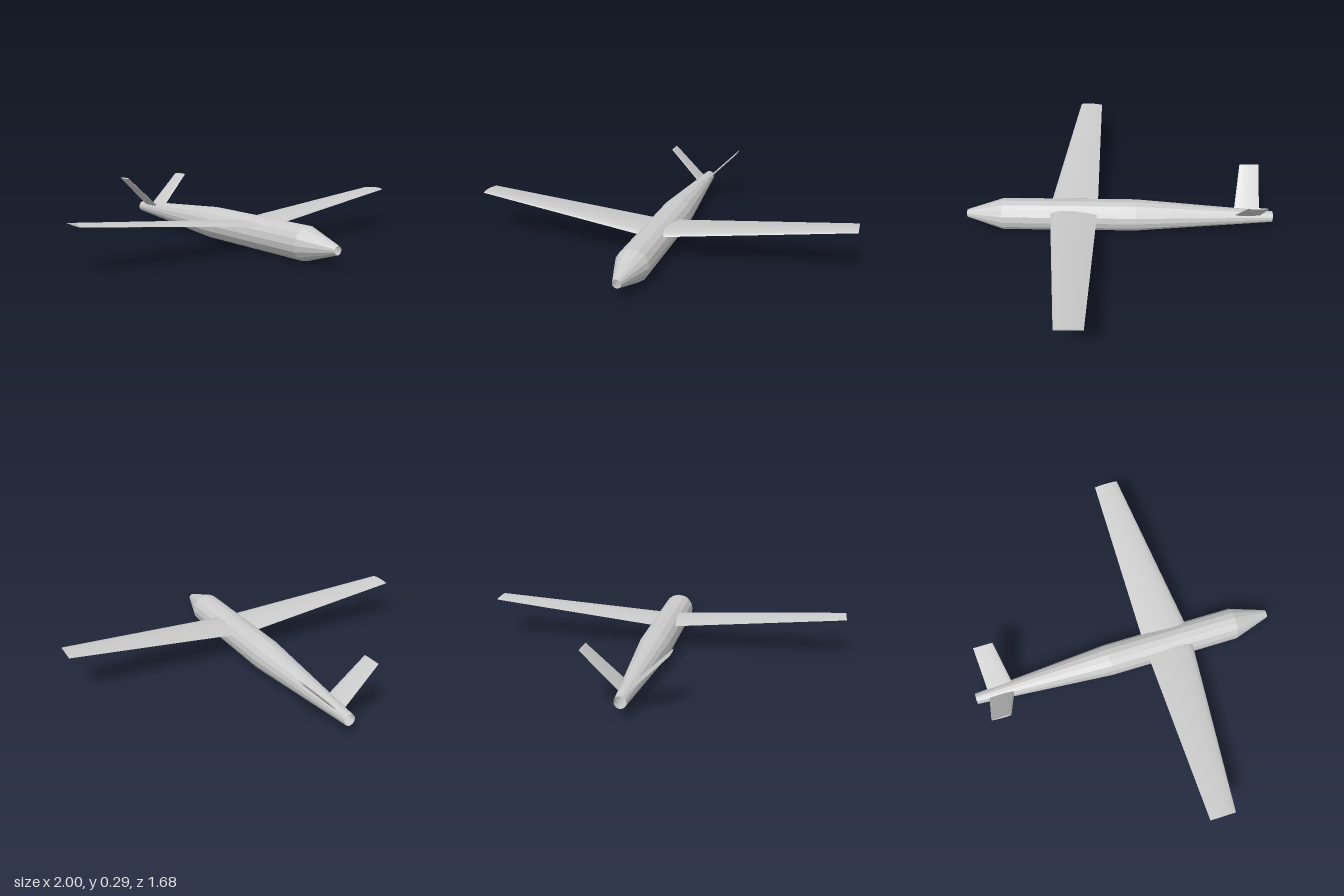
import * as THREE from 'three';
import { toCreasedNormals } from 'three/addons/utils/BufferGeometryUtils.js';

const grey = new THREE.MeshStandardMaterial({ color: 0xcccccc, side: THREE.DoubleSide });
const facetedGrey = new THREE.MeshStandardMaterial({ color: 0xcccccc, side: THREE.DoubleSide, flatShading: true });

const AXIS_Y = 0.087; // height of the fuselage centreline

// Closed airfoil loop: [chord fraction from the leading edge, height / chord]
function airfoil(top, bottom, n = 10) {
  const bulge = (t) => 2.6 * Math.sqrt(t) * (1 - t);
  const pts = [];
  for (let i = 0; i <= n; i++) {
    const t = (1 - Math.cos((Math.PI * i) / n)) / 2;
    pts.push([t, top * bulge(t)]);
  }
  for (let i = n - 1; i > 0; i--) {
    const t = (1 - Math.cos((Math.PI * i) / n)) / 2;
    pts.push([t, -bottom * bulge(t)]);
  }
  return pts;
}

// Loft an airfoil from root to tip with a closed tip; side is +1 (left) or -1 (right)
function panel(section, stations, side) {
  const pos = [], idx = [], n = section.length;
  const tri = (a, b, c) => (side > 0 ? idx.push(a, b, c) : idx.push(a, c, b));
  for (const { x, y, lead, trail } of stations) {
    const chord = lead - trail;
    for (const [t, h] of section) pos.push(side * x, y + h * chord, lead - t * chord);
  }
  for (let s = 0; s < stations.length - 1; s++) {
    for (let i = 0; i < n; i++) {
      const a = s * n + i, b = s * n + ((i + 1) % n);
      tri(a, a + n, b);
      tri(a + n, b + n, b);
    }
  }
  const tip = (stations.length - 1) * n;
  for (let i = 1; i < n - 1; i++) tri(tip, tip + i + 1, tip + i);
  const geo = new THREE.BufferGeometry();
  geo.setAttribute('position', new THREE.Float32BufferAttribute(pos, 3));
  geo.setIndex(idx);
  return toCreasedNormals(geo, 0.9);
}

function addMesh(parent, name, geometry, material) {
  const mesh = new THREE.Mesh(geometry, material);
  mesh.name = name;
  parent.add(mesh);
  return mesh;
}

export function createModel() {
  const model = new THREE.Group();
  model.name = 'glider';

  // Sixteen-sided tube, open at nose and tail
  const profile = [[0.03, -0.84], [0.087, -0.09], [0.087, 0.64], [0.022, 0.84]]
    .map(([r, z]) => new THREE.Vector2(r, z));
  const body = new THREE.LatheGeometry(profile, 16).rotateX(Math.PI / 2);
  addMesh(model, 'fuselage', body, facetedGrey).position.y = AXIS_Y;

  const wingSection = airfoil(0.065, 0.012);
  const finSection = airfoil(0.035, 0.035);
  for (const side of [1, -1]) {
    const label = side > 0 ? 'left' : 'right';

    // Tapered wing with dihedral
    const wing = panel(wingSection, [
      { x: 0, y: 0.13, lead: 0.382, trail: 0.119 },
      { x: 1, y: 0.227, lead: 0.267, trail: 0.133 },
    ], side);
    addMesh(model, label + 'Wing', wing, grey);

    // V-tail fin, tilted up 45 degrees from the centreline
    const fin = panel(finSection, [
      { x: 0, y: 0, lead: -0.627, trail: -0.77 },
      { x: 0.29, y: 0, lead: -0.665, trail: -0.77 },
    ], side);
    const finMesh = addMesh(model, label + 'TailFin', fin, grey);
    finMesh.position.y = AXIS_Y;
    finMesh.rotation.z = (side * Math.PI) / 4;
  }
  return model;
}
